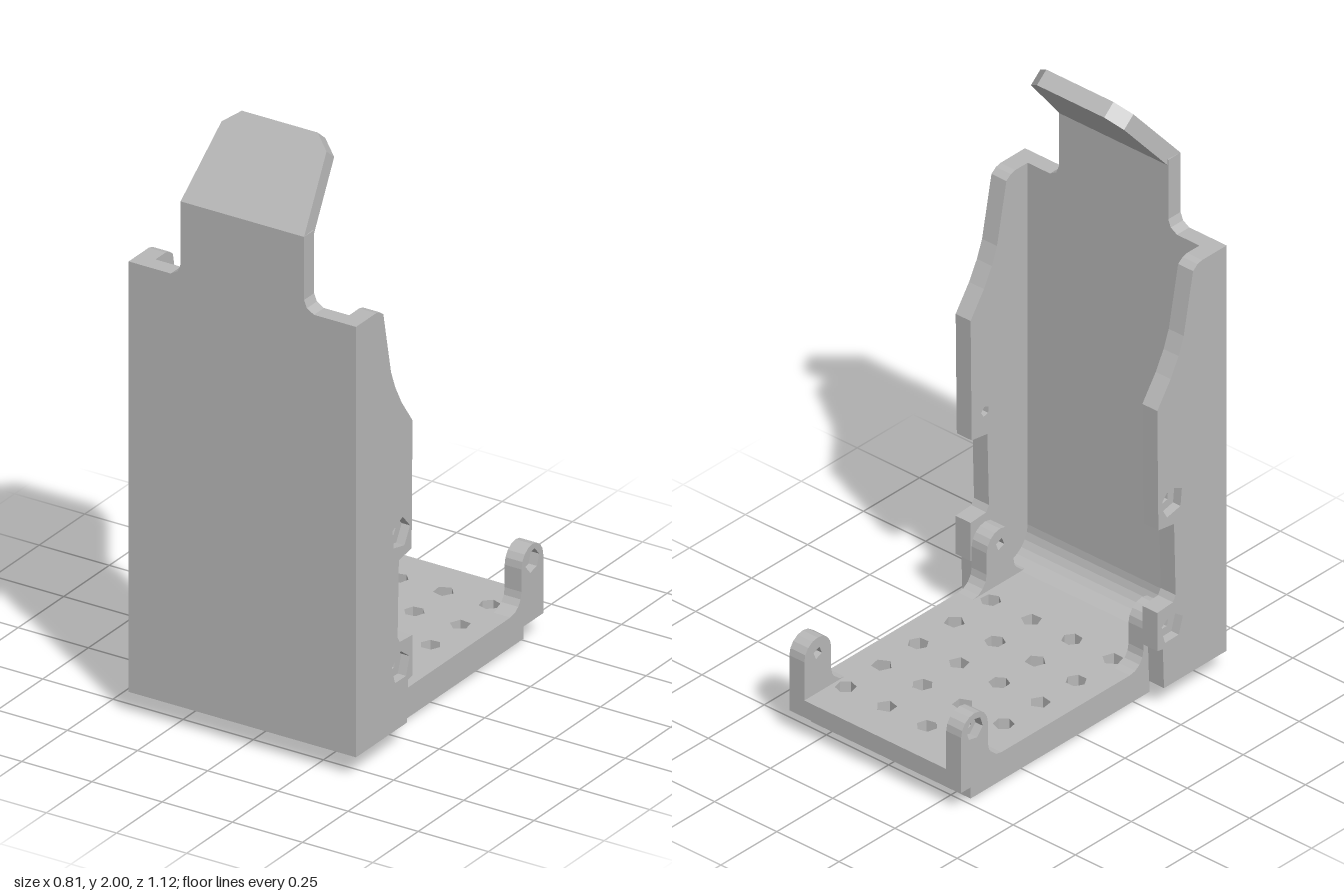
import * as THREE from 'three';

const gray = new THREE.MeshStandardMaterial({ color: 0xb8b8b8 });
gray.name = 'plain gray';
gray.flatShading = true;

const shapeOf = (pts) => new THREE.Shape(pts.map((p) => new THREE.Vector2(p[0], p[1])));

// Regular polygon used for the coarse round holes
function polygonHole(cx, cy, r, sides, turn = 0) {
  const pts = [];
  for (let i = 0; i < sides; i++) {
    const a = turn + (i / sides) * Math.PI * 2;
    pts.push(new THREE.Vector2(cx + r * Math.cos(a), cy + r * Math.sin(a)));
  }
  return new THREE.Path(pts);
}

const extrude = (shape, depth) =>
  new THREE.ExtrudeGeometry(shape, { depth, bevelEnabled: false, curveSegments: 6 });

// Profile given as [z, y] pairs, extruded along x from x0 to x1
function sideExtrude(pts, x0, x1, holes = []) {
  const shape = shapeOf(pts.map(([z, y]) => [-z, y]));
  holes.forEach(([z, y, r, n, turn]) => shape.holes.push(polygonHole(-z, y, r, n, turn)));
  return extrude(shape, x1 - x0).rotateY(Math.PI / 2).translate(x0, 0, 0);
}

// Outline in x and z, extruded upward from y0 to y1
const flatExtrude = (shape, y0, y1) =>
  extrude(shape, y1 - y0).rotateX(-Math.PI / 2).translate(0, y0, 0);

const rect = (x0, y0, x1, y1) => [[x0, y0], [x1, y0], [x1, y1], [x0, y1]];

// Lug outline: filleted foot, straight sides and rounded top
function lugProfile(zc, filletFront, filletBack) {
  const w = 0.06, top = 0.27, base = 0.1, deck = 0.135, f = 0.06;
  const pts = [];
  const fillet = (dir) => {
    const arc = [];
    for (let i = 0; i <= 4; i++) {
      const a = (i / 4) * Math.PI / 2;
      arc.push([zc + dir * (w + f - f * Math.sin(a)), deck + f - f * Math.cos(a)]);
    }
    return arc;
  };
  if (filletFront) pts.push([zc + w + f, base], ...fillet(1));
  else pts.push([zc + w, base]);
  for (let i = 0; i <= 8; i++) {
    const a = (i / 8) * Math.PI;
    pts.push([zc + w * Math.cos(a), top + w * Math.sin(a)]);
  }
  if (filletBack) pts.push(...fillet(-1).reverse(), [zc - w - f, base]);
  else pts.push([zc - w, base]);
  return pts;
}

export function createModel() {
  const model = new THREE.Group();
  model.name = 'holder';
  const add = (name, geometry) => {
    const mesh = new THREE.Mesh(geometry, gray);
    mesh.name = name;
    model.add(mesh);
    return mesh;
  };

  // Tall front panel with a narrower neck and filleted shoulders
  const half = [[0.405, 0.075], [0.405, 1.51], [0.255, 1.51], [0.23, 1.525], [0.22, 1.55], [0.22, 1.76]];
  const outline = [...half, ...half.map(([x, y]) => [-x, y]).reverse()];
  add('frontPanel', extrude(shapeOf(outline), 0.055).translate(0, 0, 0.505));

  // Lip leaning back from the top of the neck
  const lip = add('bentLip', extrude(shapeOf([
    [-0.22, 0], [0.22, 0], [0.187, 0.268], [0.135, 0.316], [-0.135, 0.316], [-0.187, 0.268],
  ]), 0.055).translate(0, 0, -0.055));
  lip.position.set(0, 1.76, 0.56);
  lip.rotation.x = -0.707;

  // Side walls in two layers: wide recesses outside, small holes inside
  const wall = [
    [0.505, 0.075], [0.28, 0.075], [0.275, 0.215], [0.25, 0.22], [0.25, 0.355], [0.32, 0.36],
    [0.332, 0.38], [0.325, 0.635], [0.255, 0.645], [0.25, 1.07], [0.31, 1.155], [0.345, 1.22],
    [0.368, 1.28], [0.41, 1.49], [0.43, 1.505], [0.45, 1.51], [0.505, 1.51],
  ];
  const holes = (r, n) => [[0.315, 0.275, r, n, 0.3], [0.315, 0.72, r, n, 0.1]];
  for (const s of [1, -1]) {
    const side = s > 0 ? 'left' : 'right';
    const span = (a, b) => (s > 0 ? [a, b] : [-b, -a]);
    add(side + 'WallOuter', sideExtrude(wall, ...span(0.375, 0.405), holes(0.052, 5)));
    add(side + 'WallInner', sideExtrude(wall, ...span(0.345, 0.375), holes(0.018, 5)));

    // Pivot lugs at the front and back of the deck
    for (const [name, z, fillet] of [['FrontLug', 0.315, true], ['BackLug', -0.5, false]]) {
      const profile = lugProfile(z, true, fillet);
      add(side + name + 'Outer', sideExtrude(profile, ...span(0.315, 0.345), [[z, 0.275, 0.038, 6, 0.2]]));
      add(side + name + 'Inner', sideExtrude(profile, ...span(0.285, 0.315), [[z, 0.275, 0.02, 4, 0.4]]));
    }
  }

  // Deck with a grid of coarse holes
  const deck = shapeOf(rect(-0.345, -0.505, 0.345, 0.56));
  for (let i = 0; i < 4; i++) {
    for (let j = 0; j < 5; j++) {
      const sides = 5 + ((i + j) % 2);
      deck.holes.push(polygonHole((i - 1.5) * 0.163, 0.42 - j * 0.162, 0.033, sides, i * 1.3 + j * 0.7));
    }
  }
  add('deck', flatExtrude(deck, 0.075, 0.135));

  // Curved fillet where the deck meets the panel
  const cove = [[0.505, 0.13], [0.41, 0.13]];
  for (let i = 0; i <= 6; i++) {
    const a = (i / 6) * Math.PI / 2;
    cove.push([0.41 + 0.095 * Math.sin(a), 0.23 - 0.095 * Math.cos(a)]);
  }
  add('deckFillet', sideExtrude(cove, -0.345, 0.345));

  // Hollow foot frame under the deck
  const foot = shapeOf(rect(-0.32, -0.31, 0.32, 0.49));
  foot.holes.push(new THREE.Path(rect(-0.275, -0.265, 0.275, 0.445).map((p) => new THREE.Vector2(...p))));
  add('footFrame', flatExtrude(foot, 0.012, 0.075));

  // Gripping tubes between the holes
  for (let i = -1; i <= 1; i++) {
    for (let j = 0; j < 4; j++) {
      const x = i * 0.163, y = 0.339 - j * 0.162, turn = i + j * 0.6;
      const ring = new THREE.Shape(polygonHole(x, y, 0.062, 7, turn).getPoints());
      ring.holes.push(polygonHole(x, y, 0.046, 6, turn));
      add('gripTube', flatExtrude(ring, 0, 0.075));
    }
  }
  return model;
}
